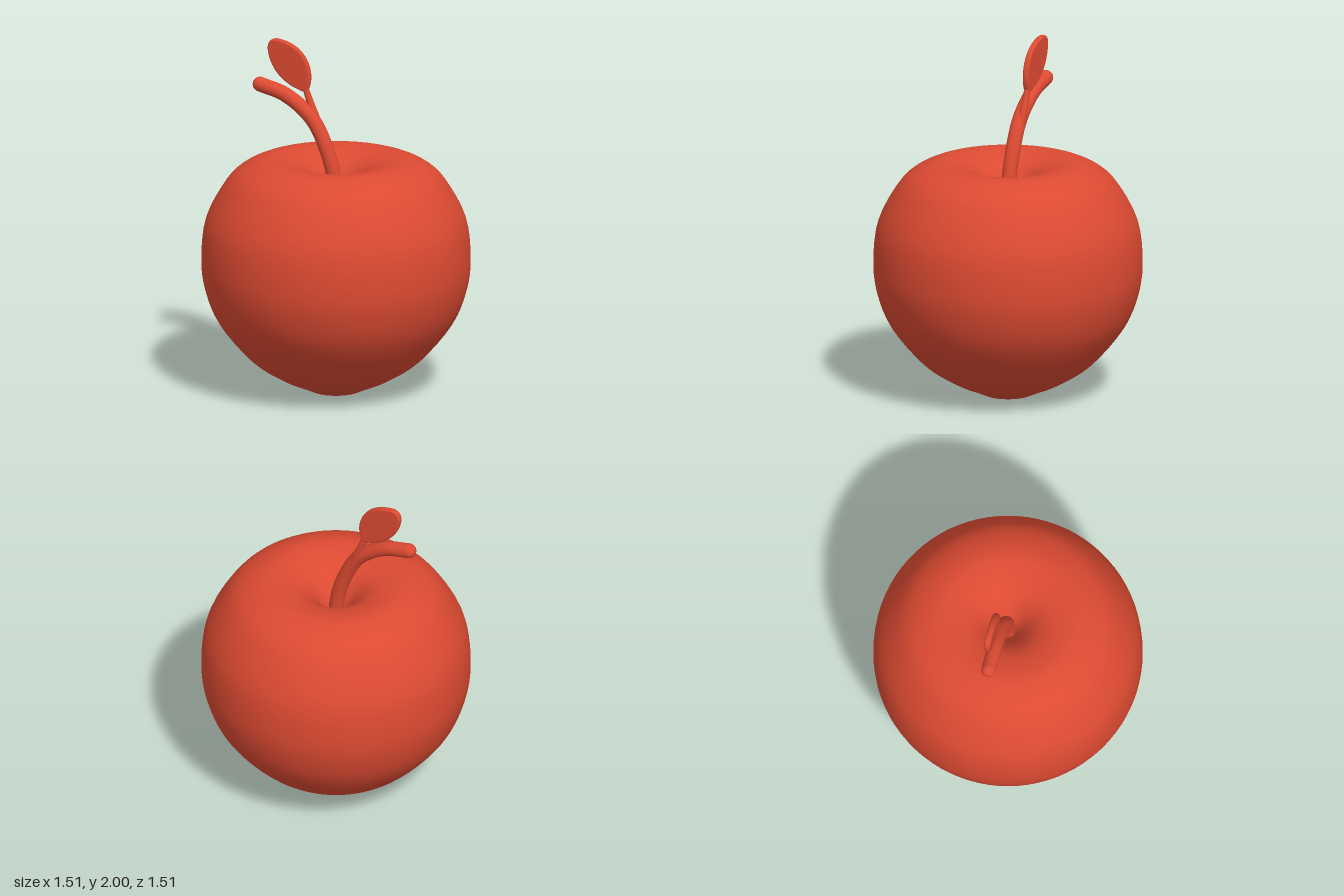
import * as THREE from 'three';

const material = new THREE.MeshStandardMaterial({ color: 0xdc4a32 });

function part(name, geometry) {
  const mesh = new THREE.Mesh(geometry, material);
  mesh.name = name;
  return mesh;
}

const v2 = ([x, y]) => new THREE.Vector2(x, y);
const v3 = ([x, y, z = 0]) => new THREE.Vector3(x, y, z);

// Turned body with a dimple below and a deep funnel on top
function body() {
  const profile = new THREE.SplineCurve([
    [0, 0.07], [0.04, 0.055], [0.08, 0.018], [0.12, 0.002], [0.2, 0.035], [0.33, 0.095],
    [0.49, 0.205], [0.66, 0.41], [0.737, 0.6], [0.757, 0.78], [0.73, 1.0],
    [0.625, 1.2], [0.53, 1.293], [0.4, 1.344], [0.29, 1.335], [0.2, 1.302],
    [0.13, 1.245], [0.07, 1.165], [0, 1.06],
  ].map(v2));
  const points = profile.getPoints(72);
  points[0].x = points[72].x = 0;
  points.forEach((p) => { p.x = Math.max(0, p.x); p.y = Math.max(0, p.y); });
  return part('body', new THREE.LatheGeometry(points, 80));
}

// Curved stem with a rounded tip
function stem() {
  const group = new THREE.Group();
  group.name = 'stem';
  const radius = 0.042;
  const curve = new THREE.CatmullRomCurve3([
    [0, 1.05], [-0.006, 1.2], [-0.045, 1.36], [-0.145, 1.56], [-0.31, 1.685], [-0.47, 1.73],
  ].map(v3));
  const tip = part('stemTip', new THREE.SphereGeometry(radius, 24, 16));
  tip.position.copy(curve.getPoint(1));
  group.add(part('stemRod', new THREE.TubeGeometry(curve, 40, radius, 24)), tip);
  return group;
}

// Flat leaf with softly rounded edges
function leaf() {
  const bevel = 0.012;
  const outline = new THREE.Shape();
  outline.moveTo(-0.195, 1.72);
  outline.bezierCurveTo(-0.15, 1.80, -0.18, 1.97, -0.37, 1.99);
  outline.quadraticCurveTo(-0.42, 1.993, -0.42, 1.94);
  outline.bezierCurveTo(-0.405, 1.81, -0.30, 1.74, -0.195, 1.72);
  const geometry = new THREE.ExtrudeGeometry(outline, {
    depth: 0.036 - 2 * bevel, curveSegments: 20, bevelEnabled: true,
    bevelThickness: bevel, bevelSize: bevel, bevelOffset: -0.002, bevelSegments: 4,
  });
  geometry.translate(0, 0, -0.04 + bevel);
  return part('leaf', geometry);
}

// Short leaf stalk, widening where it meets the stem
function leafStalk() {
  const curve = new THREE.CatmullRomCurve3([
    [-0.2, 1.74, -0.022], [-0.18, 1.68, -0.022], [-0.148, 1.6, -0.02], [-0.115, 1.52, -0.015],
  ].map(v3));
  const rows = 16, sides = 16;
  const geometry = new THREE.TubeGeometry(curve, rows, 1, sides);
  const position = geometry.attributes.position;
  const point = new THREE.Vector3();
  for (let i = 0; i < position.count; i++) {
    const t = Math.floor(i / (sides + 1)) / rows;
    const centre = curve.getPointAt(t);
    point.fromBufferAttribute(position, i).sub(centre).multiplyScalar(0.017 + 0.009 * t).add(centre);
    position.setXYZ(i, point.x, point.y, point.z);
  }
  geometry.computeVertexNormals();
  return part('leafStalk', geometry);
}

export function createModel() {
  const model = new THREE.Group();
  model.name = 'apple';
  model.add(body(), stem(), leaf(), leafStalk());
  return model;
}
